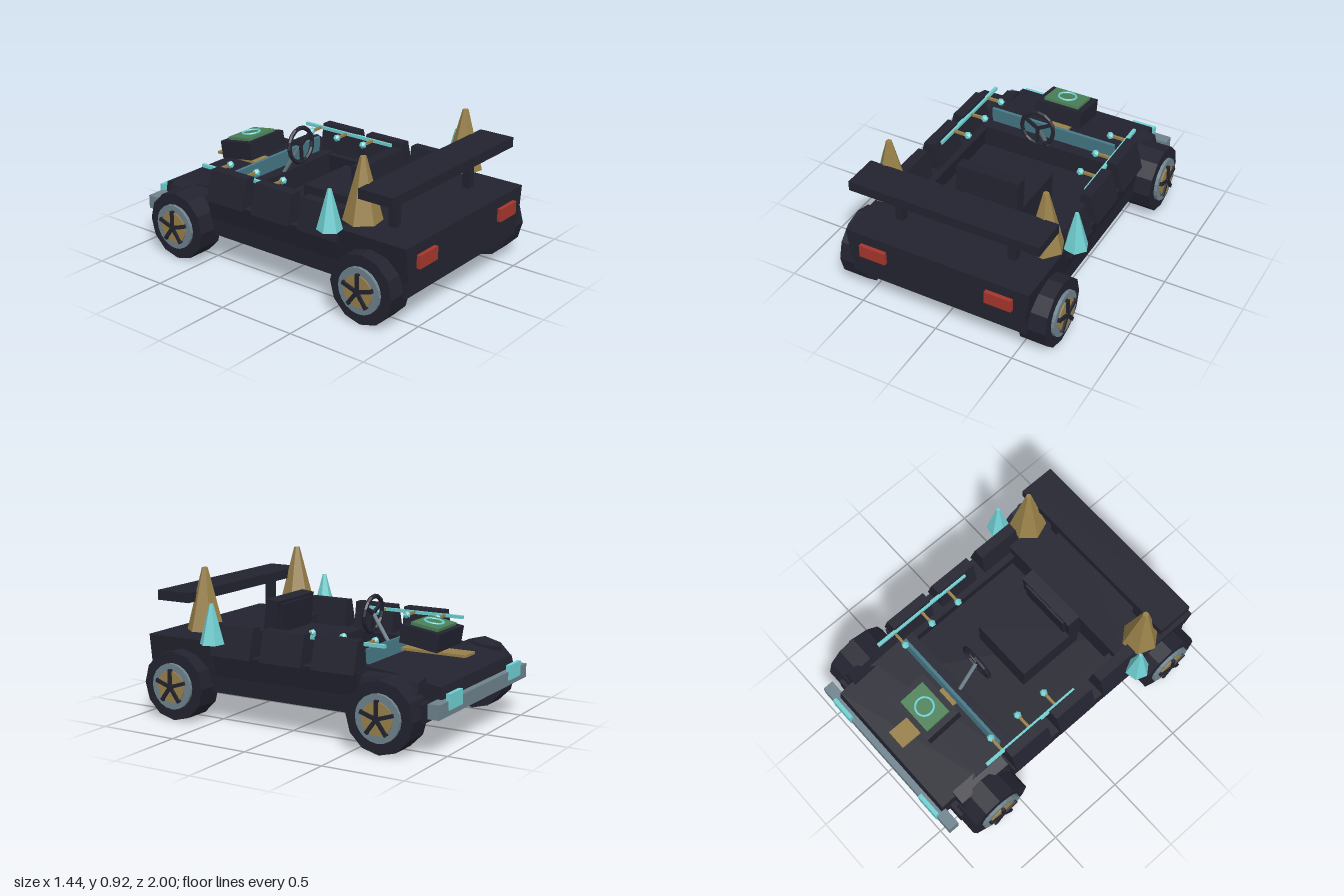
import * as THREE from 'three';

const mat = (name, color) => {
  const m = new THREE.MeshStandardMaterial({ color });
  m.name = name;
  m.flatShading = true;
  return m;
};

export function createModel() {
  const dark = mat('charcoal', 0x232330);
  const gold = mat('gold', 0x988049);
  const cyan = mat('cyan', 0x70cfd1);
  const steel = mat('steel', 0x6f838d);
  const red = mat('red', 0xa5362d);
  const green = mat('green', 0x4a8055);
  const glass = mat('glass', 0x467886);

  const car = new THREE.Group();
  car.name = 'buggy';

  const add = (name, geo, material, x = 0, y = 0, z = 0, parent = car) => {
    const m = new THREE.Mesh(geo, material);
    m.name = name;
    m.position.set(x, y, z);
    parent.add(m);
    return m;
  };
  // box given by its limits on each axis
  const box = (name, material, [x0, x1], [y0, y1], [z0, z1], parent = car) =>
    add(name, new THREE.BoxGeometry(x1 - x0, y1 - y0, z1 - z0), material,
      (x0 + x1) / 2, (y0 + y1) / 2, (z0 + z1) / 2, parent);
  const shape = pts => new THREE.Shape(pts.map(p => new THREE.Vector2(...p)));
  // side profile in (z, y), extruded across the width
  const sideProfile = (name, pts, half, material) => {
    const g = new THREE.ExtrudeGeometry(shape(pts.map(([z, y]) => [-z, y])), { depth: half * 2, bevelEnabled: false });
    g.translate(0, 0, -half);
    g.rotateY(Math.PI / 2);
    return add(name, g, material);
  };
  // front profile in (x, y), extruded from z0 to z1
  const frontProfile = (name, pts, z0, z1, material) => {
    const g = new THREE.ExtrudeGeometry(shape(pts), { depth: z1 - z0, bevelEnabled: false });
    return add(name, g, material, 0, 0, z0);
  };

  // chassis, hood and rear deck
  box('chassis', dark, [-0.57, 0.57], [0.18, 0.29], [-0.885, 0.96]);
  sideProfile('hood', [[-0.45, 0.2], [-0.45, 0.44], [-0.67, 0.42], [-0.94, 0.375], [-0.965, 0.21]], 0.475, dark);
  frontProfile('rearDeck', [[-0.57, 0.28], [0.57, 0.28], [0.595, 0.49], [-0.595, 0.49]], 0.44, 0.975, dark);
  box('cowl', dark, [-0.47, 0.47], [0.28, 0.43], [-0.47, -0.37]);

  // fenders, side sills and tilted door blocks
  for (const s of [-1, 1]) {
    const mirror = pts => (s > 0 ? pts : pts.map(([x, y]) => [-x, y]).reverse());
    frontProfile('sideSill', mirror([[0.45, 0.28], [0.57, 0.28], [0.595, 0.42], [0.43, 0.42]]), -0.48, 0.5, dark);
    frontProfile('frontFender', mirror([[0.45, 0.28], [0.57, 0.28], [0.54, 0.4], [0.45, 0.42]]), -0.84, -0.47, dark);
    for (const [z0, z1] of [[-0.47, -0.19], [-0.12, 0.16], [0.23, 0.51]]) {
      frontProfile('doorBlock', mirror([[0.47, 0.41], [0.615, 0.41], [0.565, 0.595], [0.5, 0.595]]), z0, z1, dark);
    }
  }

  // bumper and lights
  box('bumper', steel, [-0.59, 0.59], [0.22, 0.305], [-0.99, -0.92]);
  for (const s of [-1, 1]) {
    const span = (a, b) => (s > 0 ? [a, b] : [-b, -a]);
    box('headlight', cyan, span(0.32, 0.48), [0.255, 0.345], [-1, -0.975]);
    box('tailLight', red, span(0.325, 0.495), [0.345, 0.425], [0.97, 1]);
    box('wingPost', dark, span(0.345, 0.395), [0.48, 0.72], [0.71, 0.76]);
  }
  box('rearWing', dark, [-0.61, 0.61], [0.71, 0.77], [0.66, 0.89]);

  // wheels with steel rims, gold discs and five spokes
  const disc = (r, x0, x1, sides) => {
    const g = new THREE.CylinderGeometry(r, r, x1 - x0, sides);
    g.rotateZ(Math.PI / 2);
    g.translate((x0 + x1) / 2, 0, 0);
    return g;
  };
  for (const z of [0.735, -0.67]) {
    for (const s of [-1, 1]) {
      const wheel = new THREE.Group();
      wheel.name = 'wheel';
      wheel.position.set(0, 0.212, z);
      wheel.rotation.y = s > 0 ? 0 : Math.PI;
      add('tire', disc(0.212, 0.51, 0.68, 12), dark, 0, 0, 0, wheel);
      add('rim', disc(0.14, 0.67, 0.7, 20), steel, 0, 0, 0, wheel);
      add('hubDisc', disc(0.097, 0.69, 0.708, 20), gold, 0, 0, 0, wheel);
      add('hub', disc(0.022, 0.7, 0.72, 10), dark, 0, 0, 0, wheel);
      for (let i = 0; i < 5; i++) {
        const g = new THREE.BoxGeometry(0.02, 0.107, 0.022);
        g.translate(0.71, 0.054, 0);
        g.rotateX(i * Math.PI * 2 / 5);
        add('spoke', g, dark, 0, 0, 0, wheel);
      }
      car.add(wheel);
    }
  }

  // seat
  box('seatCushion', dark, [-0.205, 0.205], [0.28, 0.49], [-0.055, 0.39]);
  add('seatBack', new THREE.BoxGeometry(0.41, 0.3, 0.085), dark, 0, 0.545, 0.355).rotation.x = -0.1;
  add('seatPad', new THREE.BoxGeometry(0.33, 0.18, 0.02), dark, 0, 0.58, 0.305).rotation.x = -0.1;

  // windshield, steering wheel and column
  add('windshield', new THREE.BoxGeometry(0.86, 0.13, 0.02), glass, 0, 0.462, -0.456).rotation.x = 0.06;
  const steering = new THREE.Group();
  steering.name = 'steeringWheel';
  steering.position.set(0, 0.637, -0.247);
  steering.rotation.x = -0.08;
  add('steeringRing', new THREE.TorusGeometry(0.108, 0.014, 6, 16), dark, 0, 0, 0, steering);
  for (let i = 0; i < 3; i++) {
    const g = new THREE.BoxGeometry(0.02, 0.1, 0.015);
    g.translate(0, -0.05, 0);
    g.rotateZ(i * Math.PI * 2 / 3);
    add('steeringSpoke', g, dark, 0, 0, 0, steering);
  }
  car.add(steering);
  const column = new THREE.TubeGeometry(new THREE.LineCurve3(
    new THREE.Vector3(0, 0.637, -0.25), new THREE.Vector3(0, 0.42, -0.39)), 1, 0.012, 8);
  add('steeringColumn', column, steel);

  // hood box with its green panel and ring, and the gold strip below
  box('hoodStrip', gold, [-0.063, 0.063], [0.452, 0.468], [-0.89, -0.47]);
  const crate = new THREE.Group();
  crate.name = 'hoodBox';
  crate.position.set(0, 0.556, -0.64);
  crate.rotation.x = -0.155;
  box('boxBody', dark, [-0.16, 0.16], [-0.055, 0.055], [-0.123, 0.123], crate);
  box('boxPanel', green, [-0.12, 0.12], [0.05, 0.073], [-0.09, 0.085], crate);
  const ring = new THREE.TorusGeometry(0.056, 0.007, 6, 20);
  ring.rotateX(Math.PI / 2);
  add('panelRing', ring, cyan, 0, 0.078, -0.003, crate);
  car.add(crate);

  // side rails with knobs, and crystal spikes
  for (const s of [-1, 1]) {
    add('sideRail', new THREE.BoxGeometry(0.02, 0.02, 0.69), cyan, s * 0.493, 0.568, -0.26);
    for (const z of [-0.48, -0.27, -0.062]) {
      add('knobStem', new THREE.BoxGeometry(0.11, 0.016, 0.016), gold, s * 0.44, 0.568, z);
      add('knob', new THREE.IcosahedronGeometry(0.025, 0), cyan, s * 0.387, 0.568, z);
    }
    add('goldSpike', new THREE.CylinderGeometry(0.018, 0.115, 0.375, 6), gold,
      s * 0.505, 0.728, 0.615).rotation.y = s * 0.35;
    add('cyanSpike', new THREE.CylinderGeometry(0.012, 0.075, 0.24, 6), cyan,
      s * 0.63, 0.608, 0.48).rotation.y = s * 0.35;
  }

  return car;
}
